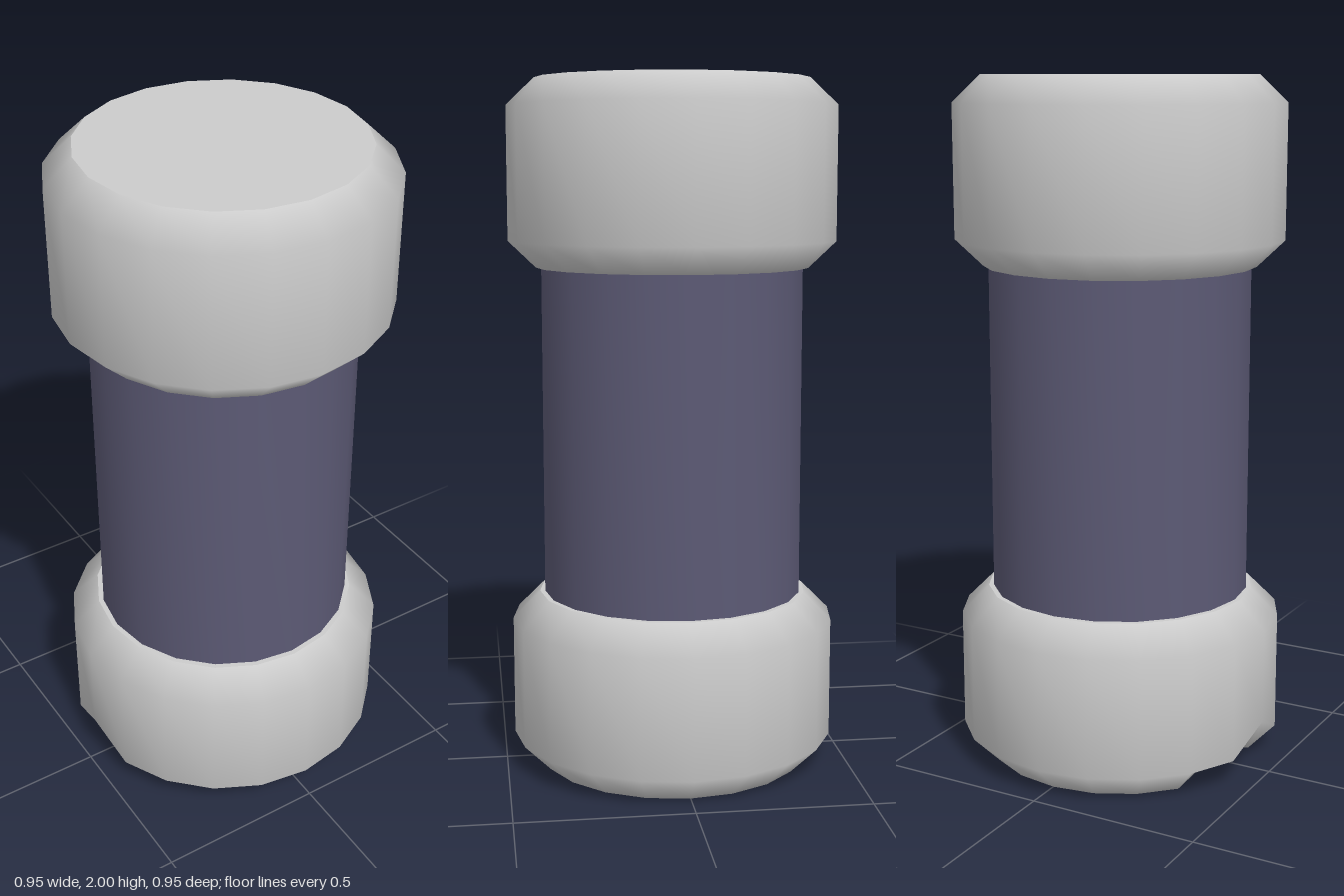
import * as THREE from 'three';
import { mergeVertices, mergeGeometries } from 'three/addons/utils/BufferGeometryUtils.js';

const SIDES = 20;
const R = 0.475;      // cap radius
const R_END = 0.395;  // radius of the flat cap ends
const R_BODY = 0.38;

// Smooth surface of revolution; an optional rule moves its vertices first
function turned(profile, rule) {
  let g = new THREE.LatheGeometry(profile.map(([r, y]) => new THREE.Vector2(r, y)), SIDES);
  g.deleteAttribute('uv');
  g.deleteAttribute('normal');
  g = mergeVertices(g, 1e-4);
  if (rule) {
    const p = g.attributes.position;
    const v = new THREE.Vector3();
    for (let i = 0; i < p.count; i++) {
      rule(v.fromBufferAttribute(p, i));
      p.setXYZ(i, v.x, v.y, v.z);
    }
  }
  g.computeVertexNormals();
  return g;
}

// Bevelled cap: smooth side plus separate flat ends for crisp rims
function capGeometry(y0, y1, bevel, rule) {
  return mergeGeometries([
    turned([[R_END, y0], [R, y0 + bevel], [R, y1 - bevel], [R_END, y1]], rule),
    turned([[0, y0], [0.3, y0], [R_END, y0]], rule),
    turned([[R_END, y1], [0, y1]], rule),
  ]);
}

// Small knock in the lower rim on the -x side
function dent(v) {
  const r = Math.hypot(v.x, v.z);
  const turn = THREE.MathUtils.radToDeg(Math.atan2(v.x, v.z));
  const atSide = Math.abs(turn + 90) < 4;
  const besideIt = Math.abs(turn + 108) < 4;
  if (v.y < 0.01 && r > 0.35 && (atSide || besideIt)) v.y += 0.07;
  else if (v.y > 0.05 && v.y < 0.1 && atSide) v.y = 0.15;
}

export function createModel() {
  const model = new THREE.Group();
  const capMat = new THREE.MeshStandardMaterial({ color: 0xcccccc });
  const bodyMat = new THREE.MeshStandardMaterial({ color: 0x5c5a75 });

  const add = (name, geometry, material) => {
    const mesh = new THREE.Mesh(geometry, material);
    mesh.name = name;
    model.add(mesh);
  };

  // Central tube, its ends tucked into the caps
  add('body', turned([[R_BODY, 0.48], [R_BODY, 1.49]]), bodyMat);

  // End caps
  add('bottomCap', capGeometry(0, 0.51, 0.08, dent), capMat);
  add('topCap', capGeometry(1.465, 2, 0.077), capMat);

  return model;
}
